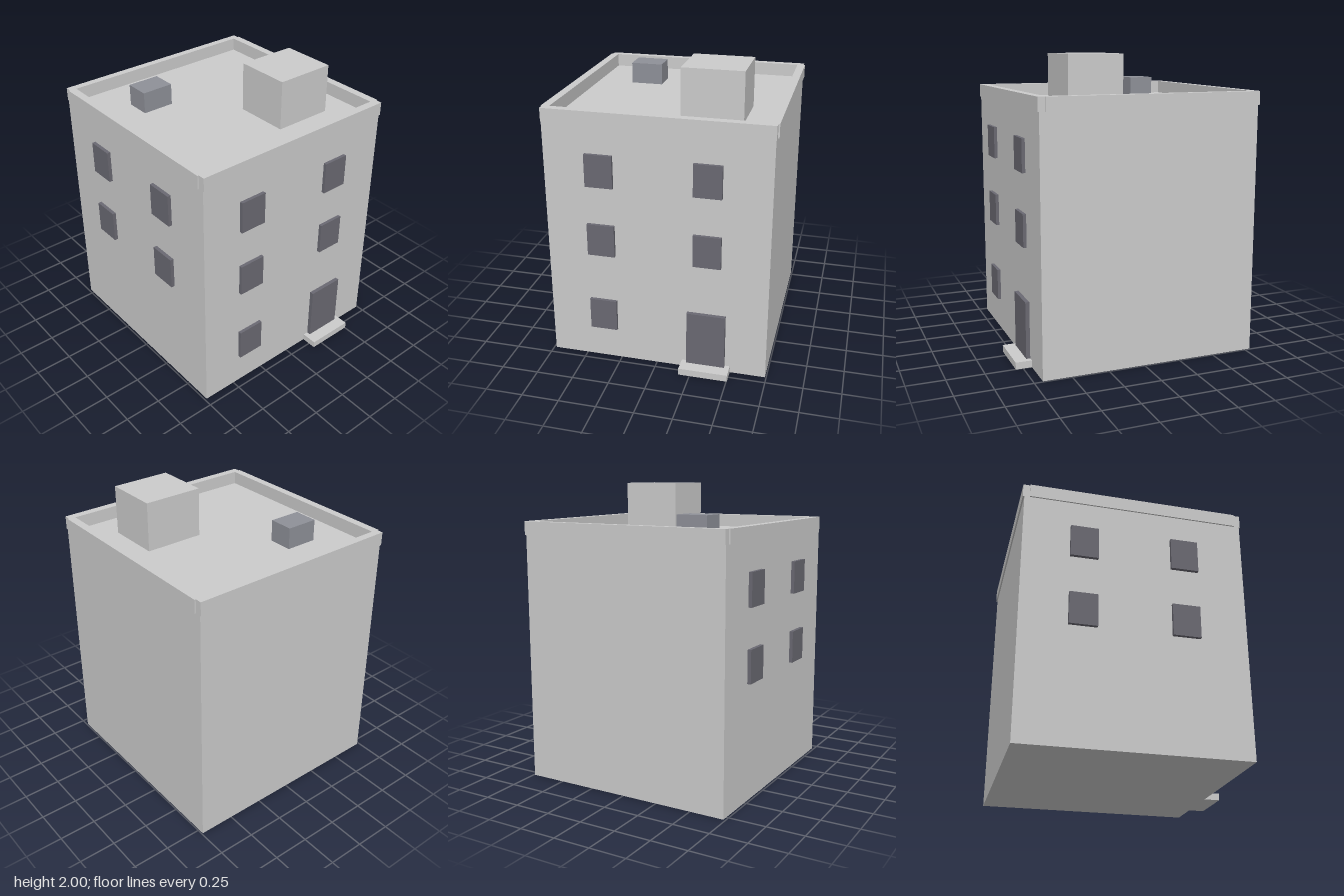
import * as THREE from 'three';

const wall = new THREE.MeshStandardMaterial({ color: 0xcccccc });
const glass = new THREE.MeshStandardMaterial({ color: 0x6a6972 });
const metal = new THREE.MeshStandardMaterial({ color: 0x8e9098 });

// Box given by its extents along each axis
function block(name, [x0, x1], [y0, y1], [z0, z1], material = wall) {
  const mesh = new THREE.Mesh(new THREE.BoxGeometry(x1 - x0, y1 - y0, z1 - z0), material);
  mesh.position.set((x0 + x1) / 2, (y0 + y1) / 2, (z0 + z1) / 2);
  mesh.name = name;
  return mesh;
}

export function createModel() {
  const building = new THREE.Group();
  building.name = 'building';
  const roof = 1.67, top = 1.76;

  // Main block
  building.add(block('walls', [-0.735, 0.742], [0, roof], [-0.79, 0.692]));

  // Parapet: side strips sit slightly proud of the front and back strips
  const parapet = new THREE.Group();
  parapet.name = 'parapet';
  parapet.add(
    block('frontParapet', [-0.735, 0.745], [roof, top], [0.645, 0.7]),
    block('backParapet', [-0.735, 0.745], [roof, top], [-0.8, -0.75]),
    block('rightParapet', [-0.745, -0.69], [roof, top], [-0.755, 0.655]),
    block('leftParapet', [0.7, 0.755], [roof, top], [-0.755, 0.655])
  );
  building.add(parapet);

  // Rooftop stair house and vent unit
  building.add(block('stairHouse', [0.1, 0.505], [roof - 0.01, 2], [0.06, 0.43]));
  building.add(block('ventUnit', [-0.44, -0.22], [roof - 0.01, 1.815], [-0.472, -0.305], metal));

  // Windows on the front and on the right side
  const upperFloors = [[0.78, 1.0], [1.263, 1.483]];
  building.add(block('frontWindow', [-0.457, -0.273], [0.225, 0.445], [0.67, 0.714], glass));
  for (const floor of upperFloors) {
    for (const x of [[-0.457, -0.273], [0.247, 0.431]])
      building.add(block('frontWindow', x, floor, [0.67, 0.714], glass));
    for (const z of [[-0.481, -0.297], [0.188, 0.372]])
      building.add(block('sideWindow', [-0.759, -0.715], floor, z, glass));
  }

  // Entrance
  building.add(block('door', [0.21, 0.468], [0.01, 0.43], [0.67, 0.719], glass));
  building.add(block('doorStep', [0.174, 0.504], [0, 0.047], [0.68, 0.8]));

  return building;
}
